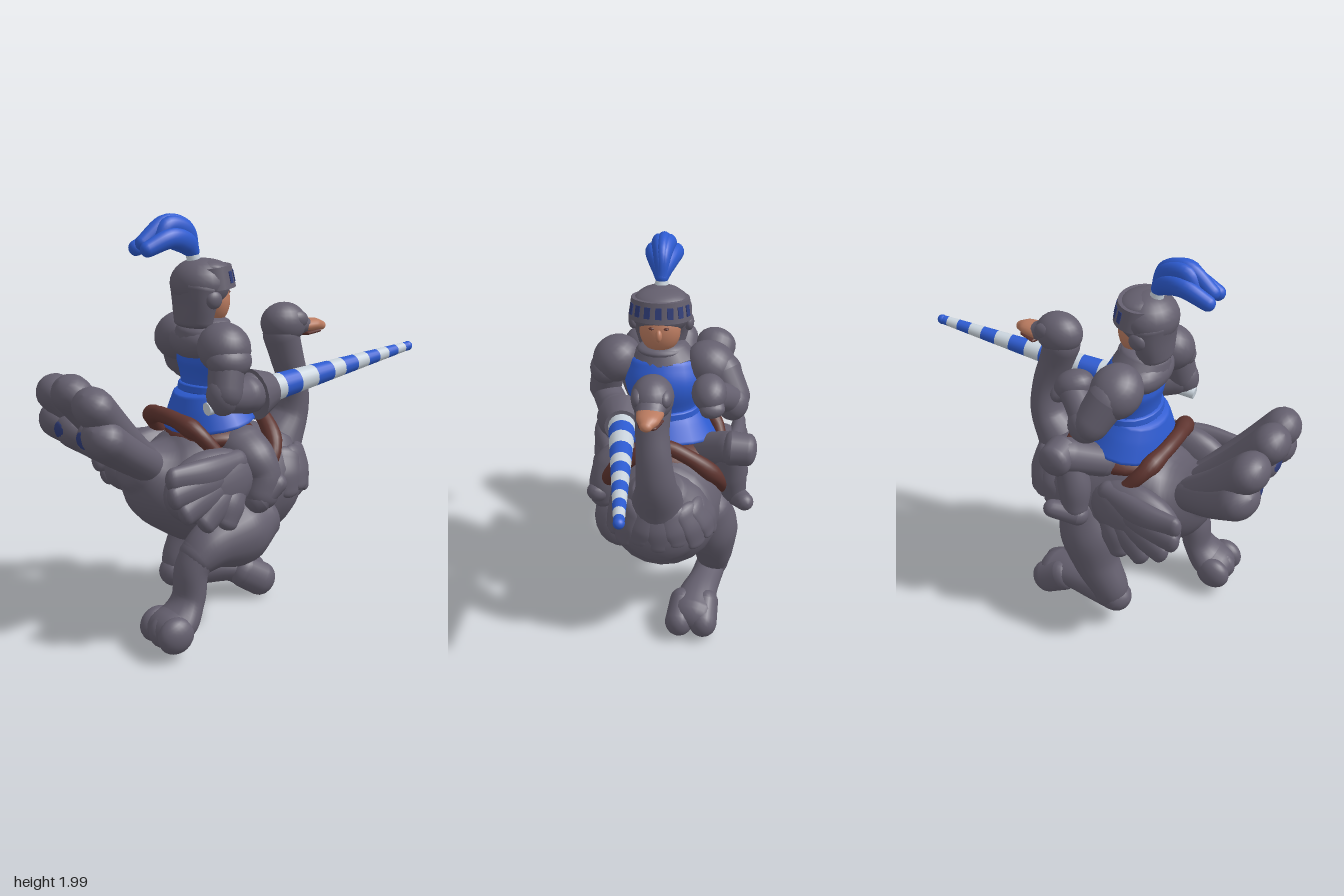
import * as THREE from 'three';

const mat = (name, color) => {
  const m = new THREE.MeshStandardMaterial({ color });
  m.name = name;
  return m;
};

export function createModel() {
  const grey = mat('grey', 0x645f6e), blue = mat('blue', 0x2d5bd0), white = mat('white', 0xc9d3dc);
  const brown = mat('brown', 0x5e342f), skin = mat('skin', 0xb97a5f), navy = mat('navy', 0x2f3c78);
  const root = new THREE.Group();
  root.name = 'mountedKnight';
  const group = (name) => { const g = new THREE.Group(); g.name = name; root.add(g); return g; };
  const bird = group('bird'), knight = group('knight'), saddle = group('saddle'), lance = group('lance');

  const add = (parent, name, geo, material) => {
    const m = new THREE.Mesh(geo, material);
    m.name = name;
    parent.add(m);
    return m;
  };
  const ball = (parent, name, material, p, s, r = [0, 0, 0]) => {
    const m = add(parent, name, new THREE.SphereGeometry(1, 22, 14), material);
    m.position.set(...p); m.scale.set(...s); m.rotation.set(...r);
    return m;
  };
  // Straight tapered bar between two points
  const bar = (parent, name, material, a, b, ra, rb) => {
    const A = new THREE.Vector3(...a), B = new THREE.Vector3(...b);
    const m = add(parent, name, new THREE.CylinderGeometry(rb, ra, A.distanceTo(B), 18), material);
    m.position.copy(A).add(B).multiplyScalar(0.5);
    m.quaternion.setFromUnitVectors(new THREE.Vector3(0, 1, 0), B.sub(A).normalize());
    return m;
  };
  // Sweep of elliptical sections [x, y, z, r, rSide] with rounded ends; rSide lies along ref
  const limb = (parent, name, material, pts, round = 1, ref = [0, 0, 1]) => {
    const curve = new THREE.CatmullRomCurve3(pts.map((p) => new THREE.Vector3(p[0], p[1], p[2])));
    const radii = new THREE.CatmullRomCurve3(pts.map((p) => new THREE.Vector3(p[3], p[4] ?? p[3], 0)));
    const N = pts.length * 5, S = 20, K = 5, pos = [], idx = [];
    const ring = (t, lift, shrink) => {
      const c = curve.getPoint(t), T = curve.getTangent(t), r = radii.getPoint(t);
      const B = new THREE.Vector3(...ref);
      B.addScaledVector(T, -B.dot(T)).normalize();
      const A = new THREE.Vector3().crossVectors(B, T);
      c.addScaledVector(T, lift * Math.min(r.x, r.y) * round);
      for (let j = 0; j < S; j++) {
        const a = (j / S) * Math.PI * 2;
        const v = c.clone().addScaledVector(A, Math.cos(a) * r.x * shrink).addScaledVector(B, Math.sin(a) * r.y * shrink);
        pos.push(v.x, v.y, v.z);
      }
    };
    for (let k = K; k > 0; k--) ring(0, -Math.sin((k / K) * Math.PI / 2), Math.cos((k / K) * Math.PI / 2));
    for (let i = 0; i <= N; i++) ring(i / N, 0, 1);
    for (let k = 1; k <= K; k++) ring(1, Math.sin((k / K) * Math.PI / 2), Math.cos((k / K) * Math.PI / 2));
    for (let i = 0; i < N + 2 * K; i++) for (let j = 0; j < S; j++) {
      const a = i * S + j, b = i * S + (j + 1) % S;
      idx.push(a, b, a + S, b, b + S, a + S);
    }
    const g = new THREE.BufferGeometry();
    g.setAttribute('position', new THREE.Float32BufferAttribute(pos, 3));
    g.setIndex(idx);
    g.computeVertexNormals();
    return add(parent, name, g, material);
  };

  // Bird body, neck and head
  limb(bird, 'body', grey, [[-0.58, 0.83, 0.01, 0.12, 0.14], [-0.47, 0.765, 0.01, 0.22, 0.22], [-0.3, 0.725, 0.01, 0.295, 0.28],
    [-0.08, 0.69, 0.01, 0.31, 0.295], [0.1, 0.7, 0.02, 0.275, 0.27], [0.22, 0.72, 0.02, 0.18, 0.2]], 0.6);
  limb(bird, 'neck', grey, [[0.12, 0.72, 0.03, 0.17, 0.19], [0.21, 0.87, 0.03, 0.125, 0.13], [0.285, 1.0, 0.03, 0.085, 0.1],
    [0.29, 1.15, 0.04, 0.075, 0.085], [0.245, 1.29, 0.05, 0.085, 0.08], [0.21, 1.4, 0.05, 0.092, 0.088]]);
  ball(bird, 'head', grey, [0.225, 1.455, 0.05], [0.12, 0.103, 0.1]);
  limb(bird, 'snout', grey, [[0.25, 1.46, 0.05, 0.08, 0.085], [0.345, 1.435, 0.05, 0.042, 0.06]]);
  limb(bird, 'beak', skin, [[0.34, 1.435, 0.05, 0.036, 0.064], [0.41, 1.435, 0.055, 0.032, 0.052], [0.445, 1.428, 0.06, 0.024, 0.03]]);
  limb(bird, 'mouth', brown, [[0.34, 1.4, 0.05, 0.014, 0.064], [0.42, 1.407, 0.055, 0.013, 0.042]]);
  for (const s of [-1, 1]) ball(bird, 'eyelid', grey, [0.265, 1.475, 0.05 + s * 0.06], [0.06, 0.045, 0.035]);

  // Feathered collar with a scalloped lower edge
  limb(bird, 'collar', grey, [[0.17, 0.92, 0.03, 0.11, 0.13], [0.13, 0.83, 0.025, 0.18, 0.225], [0.11, 0.73, 0.02, 0.215, 0.265]], 0.1);
  for (let i = -4; i <= 4; i++) {
    const a = i * 0.4, c = Math.cos(a), s = Math.sin(a), tip = 0.67 + (i % 2 ? 0.025 : 0);
    limb(bird, 'collarFeather', grey, [[0.13 + 0.15 * c, 0.83, 0.025 + 0.195 * s, 0.03, 0.075],
      [0.11 + 0.195 * c, 0.75, 0.02 + 0.24 * s, 0.028, 0.075], [0.11 + 0.2 * c, tip, 0.02 + 0.255 * s, 0.022, 0.055]], 1.6, [-s, 0, c]);
  }

  // Tail fan
  for (const [x, y, z] of [[-0.9, 1.215, 0.01], [-0.885, 1.185, 0.2], [-0.885, 1.185, -0.2], [-0.86, 1.05, 0.24],
    [-0.86, 1.05, -0.24], [-0.83, 1.02, 0.12], [-0.83, 1.02, -0.12]]) {
    const mid = [(x - 0.6) / 2, (y + 0.84) / 2 + 0.015, z * 0.75];
    limb(bird, 'tailFeather', grey, [[-0.56, 0.85, z * 0.35, 0.08, 0.08], [...mid, 0.085, 0.1], [x, y, z, 0.09, 0.11]]);
  }
  for (const z of [-0.12, 0.12]) ball(bird, 'tailSpot', navy, [-0.9, 1.02, z], [0.022, 0.045, 0.06], [0, 0, 0.1]);

  // Wings: a plump blade with overlapping feathers sweeping back
  for (const s of [-1, 1]) {
    const mid = s > 0 ? 0.035 : 0.005;
    ball(bird, 'wingBlade', grey, [-0.37, 0.78, mid + s * 0.28], [0.24, 0.165, 0.1], [s * -0.12, 0, 0.2]);
    [[-0.6, 0.86, 0.35], [-0.6, 0.78, 0.365], [-0.55, 0.7, 0.375], [-0.45, 0.64, 0.375], [-0.33, 0.62, 0.365]].forEach(([x, y, z], i) =>
      limb(bird, 'wingFeather', grey, [[-0.22, 0.87 - i * 0.03, mid + s * 0.28, 0.06, 0.05],
        [(x - 0.25) / 2, (y + 0.85) / 2 - i * 0.008, mid + s * 0.34, 0.075, 0.05], [x, y, mid + s * z, 0.055, 0.035]]));
  }

  // Trailing leg on the near side
  limb(bird, 'rightThigh', grey, [[-0.03, 0.55, 0.22, 0.12, 0.12], [-0.17, 0.51, 0.25, 0.165, 0.15],
    [-0.34, 0.48, 0.28, 0.12, 0.115], [-0.43, 0.43, 0.28, 0.085, 0.1]], 0.6);
  limb(bird, 'rightShank', grey, [[-0.4, 0.46, 0.28, 0.085, 0.1], [-0.45, 0.38, 0.28, 0.075, 0.095], [-0.47, 0.25, 0.285, 0.072, 0.095],
    [-0.53, 0.16, 0.295, 0.085, 0.12], [-0.59, 0.13, 0.3, 0.085, 0.13]]);
  for (const z of [0.215, 0.3, 0.385]) ball(bird, 'rightToe', grey, [-0.595, 0.125, z], [0.09, 0.085, 0.06], [0, 0, 0.4]);

  // Stepping leg on the far side
  limb(bird, 'leftThigh', grey, [[-0.05, 0.68, -0.2, 0.13, 0.12], [-0.09, 0.53, -0.22, 0.15, 0.14], [-0.14, 0.37, -0.235, 0.12, 0.11],
    [-0.21, 0.24, -0.235, 0.1, 0.09], [-0.22, 0.19, -0.23, 0.09, 0.085]], 0.8);
  limb(bird, 'leftShank', grey, [[-0.25, 0.175, -0.23, 0.08], [-0.1, 0.17, -0.2, 0.082], [0.04, 0.165, -0.165, 0.08, 0.1],
    [0.14, 0.13, -0.145, 0.095, 0.12]]);
  for (const z of [-0.2, -0.075]) limb(bird, 'leftToe', grey, [[0.08, 0.15, z - 0.01, 0.085, 0.065], [0.18, 0.09, z, 0.088, 0.073]]);

  // Saddle rolls
  limb(saddle, 'frontRoll', brown, [[-0.05, 0.8, 0.31, 0.034], [0.015, 0.9, 0.275, 0.038], [0.04, 1.02, 0.15, 0.038], [0.03, 1.07, 0.02, 0.038],
    [0.04, 1.02, -0.11, 0.038], [0.015, 0.9, -0.245, 0.038], [-0.05, 0.8, -0.29, 0.034]], 1, [1, 0, 0]);
  limb(saddle, 'rearRoll', brown, [[-0.3, 0.91, 0.28, 0.032], [-0.38, 1.01, 0.23, 0.038], [-0.415, 1.05, 0.1, 0.038], [-0.42, 1.055, 0.01, 0.038],
    [-0.415, 1.05, -0.08, 0.038], [-0.38, 1.01, -0.21, 0.038], [-0.3, 0.91, -0.26, 0.032]], 1, [1, 0, 0]);
  ball(saddle, 'seat', brown, [-0.18, 0.95, 0.01], [0.22, 0.08, 0.23]);

  // Torso: tunic, belt and skirt
  limb(knight, 'tunic', blue, [[-0.19, 1.1, 0.03, 0.14, 0.17], [-0.19, 1.2, 0.03, 0.13, 0.165], [-0.19, 1.32, 0.03, 0.145, 0.195],
    [-0.21, 1.42, 0.03, 0.12, 0.17]], 0.4);
  limb(knight, 'skirt', blue, [[-0.165, 1.03, 0.03, 0.21, 0.265], [-0.18, 1.12, 0.03, 0.17, 0.215], [-0.19, 1.18, 0.03, 0.14, 0.175]], 0.1).rotation.z = 0.03;
  limb(knight, 'belt', blue, [[-0.19, 1.17, 0.03, 0.146, 0.182], [-0.19, 1.2, 0.03, 0.142, 0.178]], 0.1);
  limb(knight, 'gorget', grey, [[-0.23, 1.42, 0.04, 0.14, 0.17], [-0.24, 1.48, 0.05, 0.12, 0.13]], 0.3);
  ball(knight, 'backPlate', grey, [-0.27, 1.4, 0.03], [0.1, 0.085, 0.18]);

  // Domed helmet with a projecting visor over the open face
  limb(knight, 'helmetSides', grey, [[-0.29, 1.49, 0.05, 0.08, 0.115], [-0.285, 1.57, 0.05, 0.09, 0.135], [-0.27, 1.66, 0.05, 0.12, 0.148]], 0.3);
  ball(knight, 'helmetDome', grey, [-0.253, 1.675, 0.05], [0.138, 0.12, 0.15]);
  ball(knight, 'visorTop', grey, [-0.212, 1.745, 0.05], [0.1, 0.045, 0.125], [0, 0, -0.1]);
  const visor = add(knight, 'visor', new THREE.CylinderGeometry(0.14, 0.155, 0.1, 28), grey);
  visor.position.set(-0.215, 1.705, 0.05);
  visor.scale.x = 0.78;
  visor.rotation.z = 0.1;
  for (let i = -3; i <= 3; i++) {
    const slot = add(visor, 'visorSlot', new THREE.BoxGeometry(0.008, 0.055, 0.03), navy);
    slot.position.set(Math.cos(i * 0.38) * 0.146, 0, Math.sin(i * 0.38) * 0.146);
    slot.rotation.set(0, -i * 0.38, 0.149, 'YXZ');
  }
  ball(knight, 'face', skin, [-0.19, 1.595, 0.05], [0.082, 0.115, 0.1]);
  ball(knight, 'nose', skin, [-0.11, 1.6, 0.05], [0.02, 0.03, 0.016], [0, 0, 0.3]);
  ball(knight, 'chinGuard', grey, [-0.2, 1.492, 0.05], [0.09, 0.032, 0.115]);
  for (const s of [-1, 1]) {
    ball(knight, 'helmetHinge', grey, [-0.26, 1.61, 0.05 + s * 0.135], [0.042, 0.042, 0.025]);
    ball(knight, 'eye', brown, [-0.122, 1.632, 0.05 + s * 0.035], [0.012, 0.007, 0.014]);
  }

  // Plume
  bar(knight, 'plumeSocket', white, [-0.28, 1.76, 0.05], [-0.292, 1.81, 0.05], 0.036, 0.03);
  for (const [z, x, y, top] of [[-0.005, -0.555, 1.845, 1.89], [0.025, -0.48, 1.88, 1.94], [0.05, -0.55, 1.87, 1.95], [0.075, -0.48, 1.88, 1.94], [0.105, -0.555, 1.845, 1.89]])
    limb(knight, 'plumeFeather', blue, [[-0.293, 1.825, 0.05, 0.034], [-0.335, top - 0.025, (z + 0.05) / 2, 0.048, 0.032],
      [-0.43, top, z, 0.046, 0.036], [x, y, z, 0.036, 0.034]]);

  // Right arm holding the lance
  ball(knight, 'rightPauldron', grey, [-0.26, 1.4, 0.27], [0.125, 0.115, 0.125], [0.6, 0, 0]);
  ball(knight, 'rightArmPlate', grey, [-0.265, 1.35, 0.32], [0.11, 0.08, 0.09], [0.5, 0, 0]);
  limb(knight, 'rightUpperArm', grey, [[-0.27, 1.36, 0.31, 0.085], [-0.3, 1.21, 0.34, 0.08]]);
  ball(knight, 'rightElbow', grey, [-0.31, 1.2, 0.34], [0.08, 0.095, 0.07]);
  limb(knight, 'rightForearm', grey, [[-0.29, 1.19, 0.33, 0.075], [-0.17, 1.17, 0.28, 0.08], [-0.07, 1.17, 0.24, 0.08]]);
  ball(knight, 'rightGauntlet', grey, [-0.09, 1.17, 0.23], [0.09, 0.095, 0.09]);

  // Left arm with a raised gauntlet
  ball(knight, 'leftPauldron', grey, [-0.22, 1.4, -0.2], [0.125, 0.115, 0.135], [-0.6, 0, 0]);
  limb(knight, 'leftUpperArm', grey, [[-0.2, 1.38, -0.25, 0.095], [-0.15, 1.27, -0.31, 0.085]]);
  ball(knight, 'leftElbow', grey, [-0.12, 1.25, -0.31], [0.085, 0.09, 0.08]);
  limb(knight, 'leftForearm', grey, [[-0.12, 1.27, -0.3, 0.075], [-0.05, 1.32, -0.25, 0.07], [0, 1.35, -0.21, 0.075]]);
  ball(knight, 'leftCuff', grey, [0.0, 1.365, -0.2], [0.1, 0.075, 0.085], [0.3, 0, -0.5]);
  limb(knight, 'leftHand', grey, [[0.0, 1.35, -0.2, 0.06], [0.07, 1.31, -0.22, 0.04, 0.06]]);

  // Legs and boots
  limb(knight, 'rightLeg', grey, [[-0.13, 0.93, 0.22, 0.11, 0.08], [-0.11, 0.87, 0.29, 0.105, 0.09], [-0.08, 0.79, 0.33, 0.085, 0.075], [-0.1, 0.7, 0.34, 0.085, 0.07]]);
  limb(knight, 'rightBoot', grey, [[-0.12, 0.68, 0.34, 0.065], [-0.03, 0.75, 0.36, 0.05, 0.055]]);
  limb(knight, 'leftThigh', grey, [[-0.14, 0.97, -0.18, 0.08], [-0.02, 1.05, -0.32, 0.085]]);
  limb(knight, 'leftKnee', grey, [[0.0, 1.06, -0.31, 0.085], [0.0, 1.055, -0.4, 0.08]], 0.5, [1, 0, 0]);
  limb(knight, 'leftShin', grey, [[-0.03, 1.0, -0.31, 0.07], [-0.06, 0.88, -0.315, 0.08], [-0.07, 0.77, -0.33, 0.065]]);
  limb(knight, 'leftBoot', grey, [[-0.09, 0.73, -0.34, 0.055], [0.02, 0.76, -0.39, 0.045]]);

  // Lance: hand guard, striped shaft and butt
  const axis = (x) => [x, 1.17 + 0.118 * x, 0.222 - 0.104 * x];
  const radius = (x) => 0.068 - 0.046 * x;
  bar(lance, 'handGuard', grey, axis(-0.08), axis(0.025), 0.125, 0.085);
  const marks = [0.02, 0.09, 0.19, 0.3, 0.41, 0.49, 0.58, 0.66, 0.74, 0.81, 0.88, 0.94, 0.975];
  for (let i = 0; i < marks.length - 1; i++)
    bar(lance, 'shaftStripe', i % 2 ? blue : white, axis(marks[i]), axis(marks[i + 1]), radius(marks[i]), radius(marks[i + 1]));
  ball(lance, 'lanceTip', blue, axis(0.975), [0.025, 0.025, 0.025]);
  bar(lance, 'lanceButt', white, [-0.385, 1.14, 0.32], [-0.25, 1.16, 0.31], 0.03, 0.035);

  return root;
}
